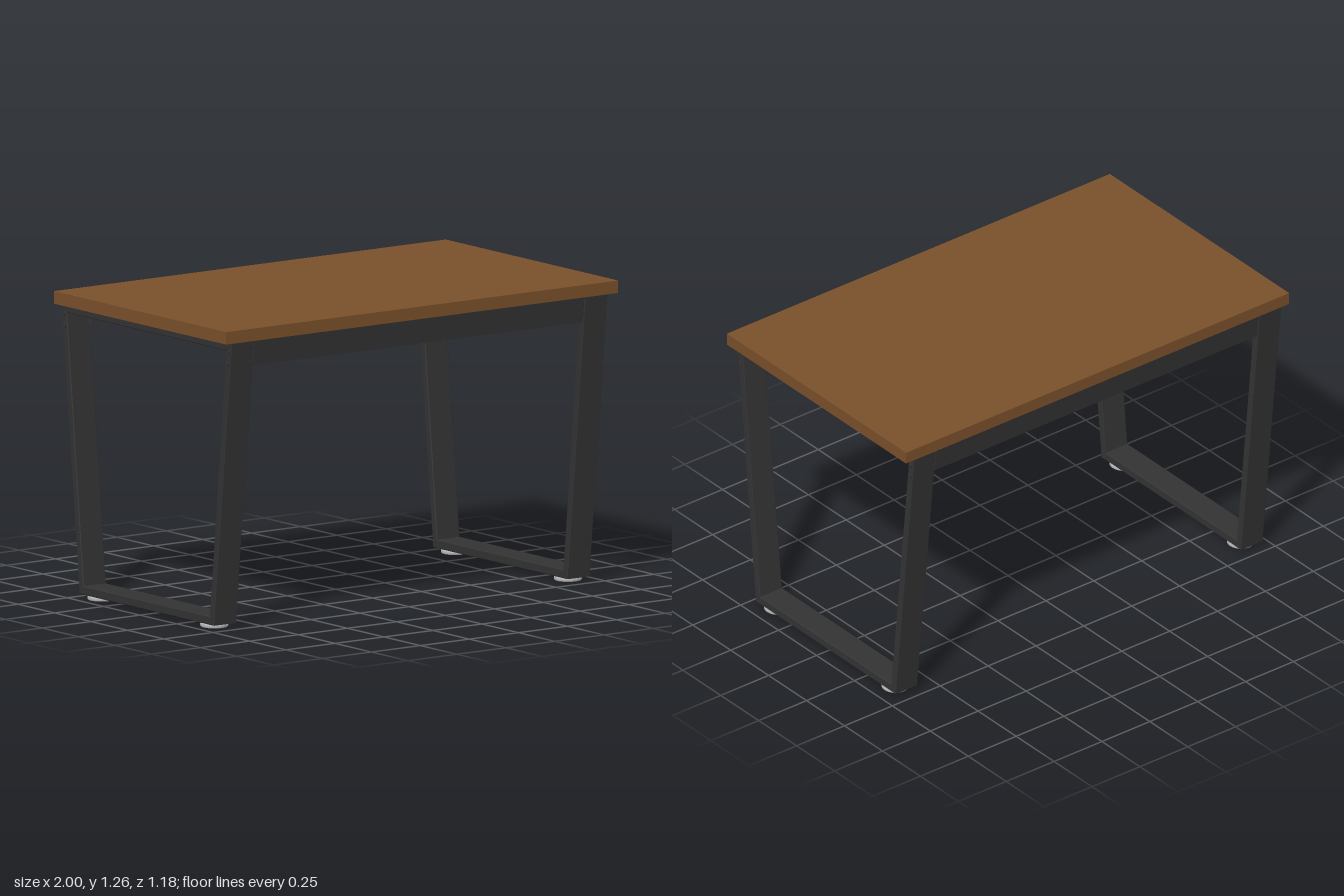
import * as THREE from 'three';

const wood = new THREE.MeshStandardMaterial({ color: 0x7a502a });
wood.name = 'brown wood';
const steel = new THREE.MeshStandardMaterial({ color: 0x333333 });
steel.name = 'dark steel';
const footGrey = new THREE.MeshStandardMaterial({ color: 0xbdbdbd });
footGrey.name = 'grey foot';

const FRAME_W = 0.116;
const FRAME_X = [-0.909, 0.895];
const Y0 = 0.018, Y1 = 1.21;
const BEVEL = 0.003;

// Outer z of the sloping legs at height y
const legZ = (y) => 0.46 + 0.123 * (y - Y0) / (Y1 - Y0);

// Extrude a (z, y) outline along x with small edge bevels, centred on x = 0
function extrudeX(outline, width, hole) {
  const toPath = (pts) => pts.map(([z, y]) => new THREE.Vector2(-z, y));
  const shape = new THREE.Shape(toPath(outline));
  if (hole) shape.holes.push(new THREE.Path(toPath(hole)));
  const depth = width - 2 * BEVEL;
  const g = new THREE.ExtrudeGeometry(shape, {
    depth, bevelThickness: BEVEL, bevelSize: BEVEL, bevelOffset: -BEVEL, bevelSegments: 1,
  });
  g.translate(0, 0, -depth / 2);
  return g.rotateY(Math.PI / 2);
}

export function createModel() {
  const model = new THREE.Group();
  model.name = 'table';
  const add = (name, geometry, material, x, y, z) => {
    const mesh = new THREE.Mesh(geometry, material);
    mesh.name = name;
    mesh.position.set(x, y, z);
    model.add(mesh);
  };

  // Table top
  add('tableTop', new THREE.BoxGeometry(2, 0.052, 1.182), wood, 0, 1.236, 0);

  // Trapezoid leg frames, outline inset by t
  const trapezoid = (lo, hi, t) => [
    [legZ(lo) - t, lo], [-legZ(lo) + t, lo], [-legZ(hi) + t, hi], [legZ(hi) - t, hi],
  ];
  const frame = extrudeX(trapezoid(Y0, Y1, 0), FRAME_W, trapezoid(0.054, 1.175, 0.032));
  const foot = new THREE.LatheGeometry([
    [0, 0], [0.054, 0], [0.058, 0.004], [0.058, 0.014], [0.055, 0.018], [0, 0.018],
  ].map(([r, y]) => new THREE.Vector2(r, y)), 24);
  const sideBolt = new THREE.CylinderGeometry(0.009, 0.009, 0.012, 12).rotateZ(Math.PI / 2);
  const underBolt = new THREE.CylinderGeometry(0.01, 0.01, 0.008, 12);

  for (const x of FRAME_X) {
    add('legFrame', frame, steel, x, 0, 0);
    for (const s of [-1, 1]) {
      add('foot', foot, footGrey, x, 0, s * 0.387);
      add('underBolt', underBolt, steel, x, 1.173, s * 0.49);
      // Bolt heads on the outer face of each leg
      for (const y of [1.12, 1.17]) {
        add('sideBolt', sideBolt, steel, x + Math.sign(x) * FRAME_W / 2, y, s * (legZ(y) - 0.016));
      }
    }
  }

  // Long rails, sloped with the legs, and slim wooden cleats behind them
  const railLength = FRAME_X[1] - FRAME_X[0] - FRAME_W;
  const midX = (FRAME_X[0] + FRAME_X[1]) / 2;
  const railLow = 1.104;
  for (const s of [-1, 1]) {
    const rail = extrudeX([
      [s * (legZ(railLow) - 0.002), railLow], [s * (legZ(Y1) - 0.002), Y1],
      [s * (legZ(Y1) - 0.03), Y1], [s * (legZ(railLow) - 0.03), railLow],
    ], railLength);
    add(s > 0 ? 'frontRail' : 'backRail', rail, steel, midX, 0, 0);
    add('cleat', new THREE.BoxGeometry(railLength, 0.016, 0.02), wood, midX, 1.202, s * 0.49);
  }
  return model;
}
